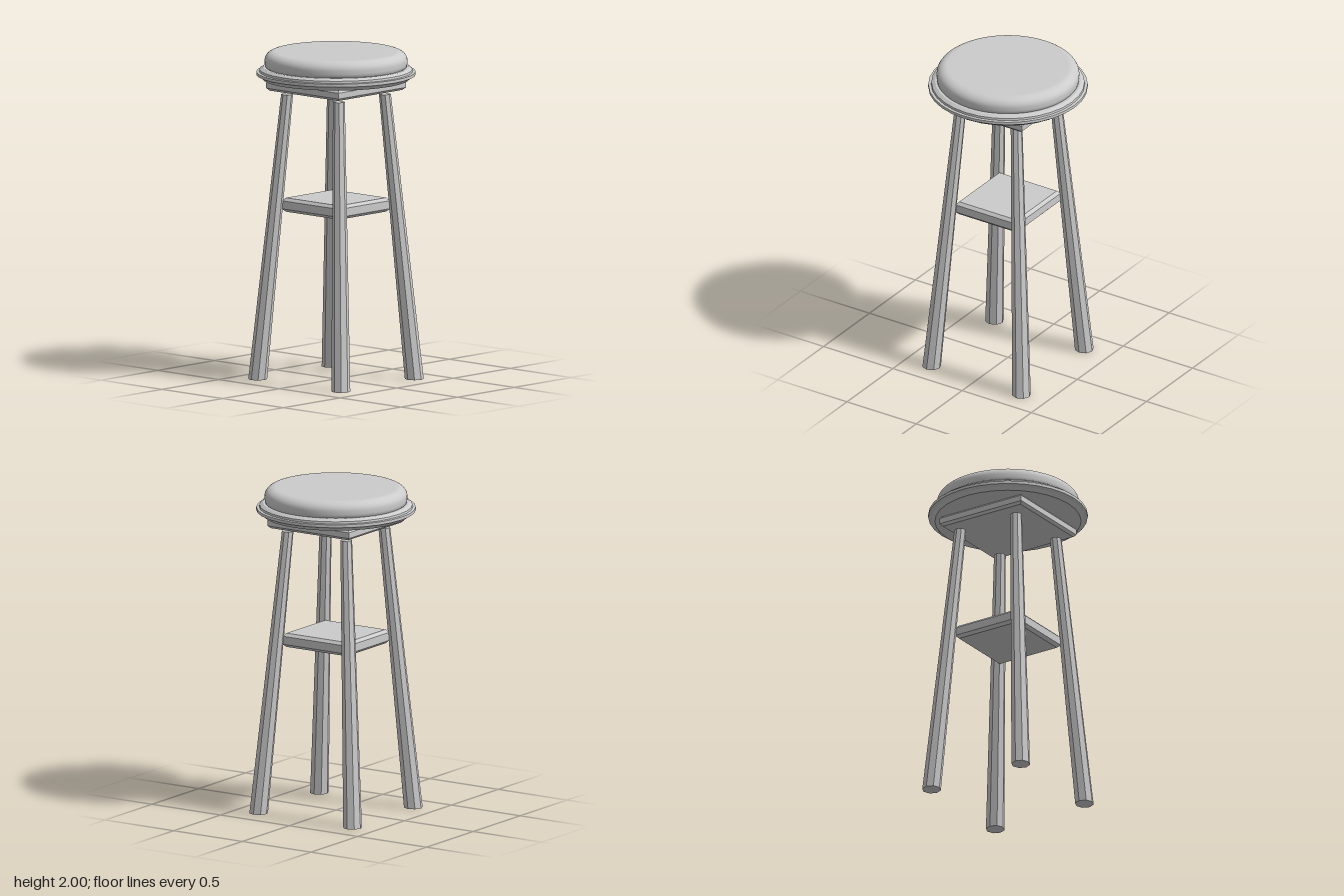
import * as THREE from 'three';
import { toCreasedNormals } from 'three/addons/utils/BufferGeometryUtils.js';

export function createModel() {
  const stool = new THREE.Group();
  stool.name = 'stool';
  const smooth = new THREE.MeshStandardMaterial({ color: 0xcccccc });
  const flat = new THREE.MeshStandardMaterial({ color: 0xcccccc, flatShading: true });

  const add = (name, geometry, material) => {
    const mesh = new THREE.Mesh(geometry, material);
    mesh.name = name;
    stool.add(mesh);
    return mesh;
  };

  // Rectangular board with chamfered upper and lower edges
  const board = (halfX, halfZ, y0, y1, chamfer) => {
    const x = halfX - chamfer, z = halfZ - chamfer;
    const shape = new THREE.Shape([
      new THREE.Vector2(-x, -z), new THREE.Vector2(x, -z),
      new THREE.Vector2(x, z), new THREE.Vector2(-x, z),
    ]);
    const g = new THREE.ExtrudeGeometry(shape, {
      depth: y1 - y0 - 2 * chamfer, bevelEnabled: true,
      bevelThickness: chamfer, bevelSize: chamfer, bevelSegments: 1,
    });
    return g.rotateX(-Math.PI / 2).translate(0, y0 + chamfer, 0);
  };

  const lathe = (points, segments) =>
    new THREE.LatheGeometry(points.map(([r, y]) => new THREE.Vector2(r, y)), segments);

  // Padded seat cushion with a rounded shoulder
  const cushion = [[0.415, 1.895], [0.427, 1.908], [0.43, 1.925]];
  for (let i = 0; i <= 8; i++) {
    const a = (i / 8) * Math.PI / 2;
    cushion.push([0.365 + 0.065 * Math.cos(a), 1.945 + 0.055 * Math.sin(a)]);
  }
  cushion.push([0.3, 2], [0, 2]);
  add('seatCushion', lathe(cushion, 64), smooth);

  // Stepped rim beneath the cushion
  const rim = lathe([
    [0, 1.83], [0.44, 1.83], [0.46, 1.848], [0.48, 1.857], [0.48, 1.875],
    [0.463, 1.877], [0.461, 1.89], [0.44, 1.903], [0, 1.903],
  ], 32);
  add('seatRim', toCreasedNormals(rim, 0.3), smooth);

  // Square mounting board and footrest shelf
  add('mountingBoard', board(0.297, 0.297, 1.76, 1.825, 0.015), flat);
  add('shelf', board(0.225, 0.237, 1.02, 1.105, 0.018), flat);

  // Splayed, tapered octagonal legs, sheared so both ends stay level
  const height = 1.737;
  for (const sx of [-1, 1]) {
    for (const sz of [-1, 1]) {
      const g = new THREE.CylinderGeometry(0.036, 0.057, height, 8);
      g.translate(0, height / 2, 0);
      const p = g.attributes.position;
      for (let i = 0; i < p.count; i++) {
        const t = p.getY(i) / height;
        p.setX(i, p.getX(i) + sx * THREE.MathUtils.lerp(0.324, 0.203, t));
        p.setZ(i, p.getZ(i) + sz * THREE.MathUtils.lerp(0.342, 0.213, t));
      }
      add((sz > 0 ? 'front' : 'back') + (sx > 0 ? 'Left' : 'Right') + 'Leg', g, flat);
    }
  }
  return stool;
}
